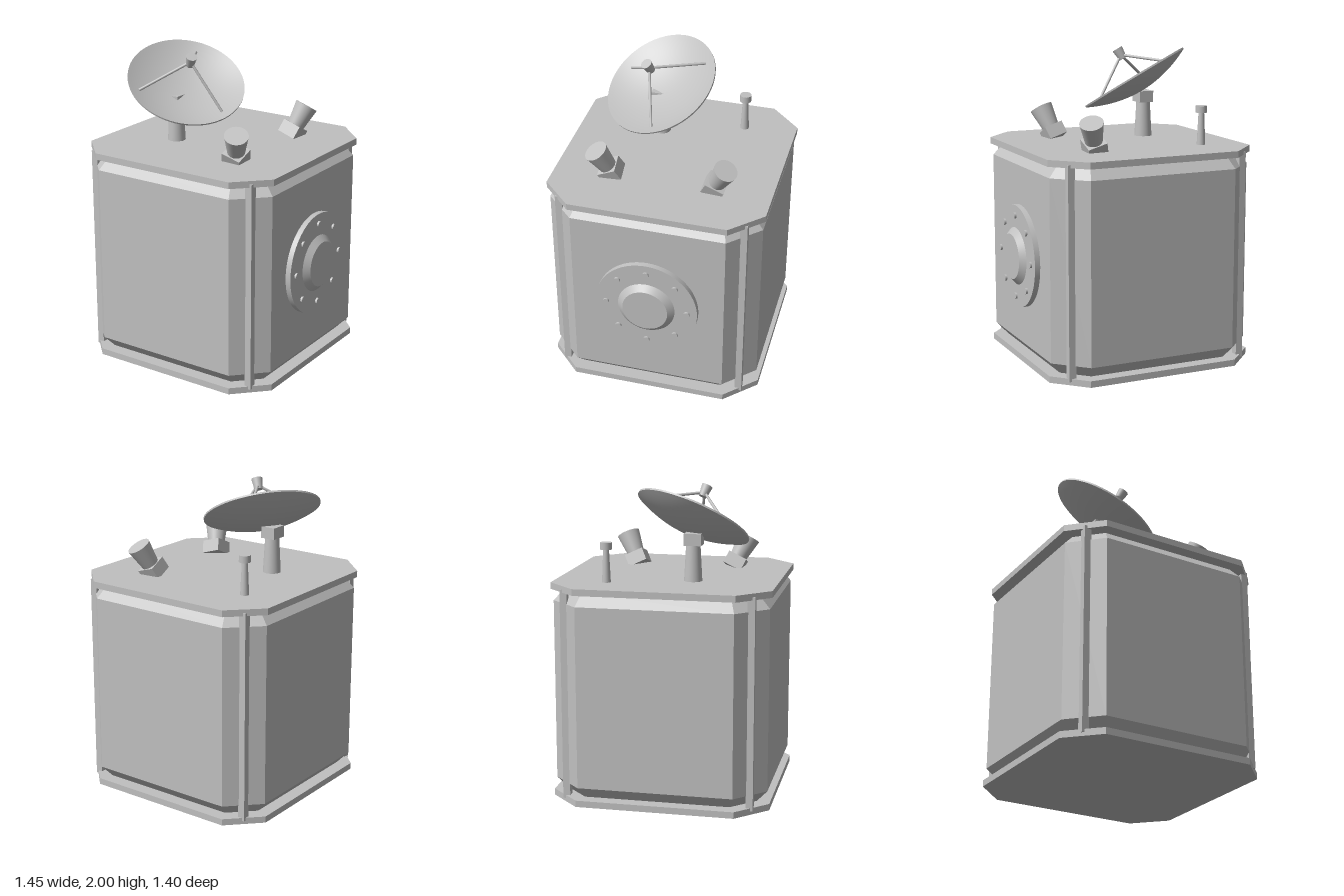
import * as THREE from 'three';

const UP = new THREE.Vector3(0, 1, 0);
const CX = -0.03; // middle of the box-shaped hull

export function createModel() {
  const model = new THREE.Group();
  const grey = new THREE.MeshStandardMaterial({ color: 0xc0c0c0 });
  grey.name = 'grey';

  const add = (name, geometry, x = 0, y = 0, z = 0, parent = model) => {
    const mesh = new THREE.Mesh(geometry, grey);
    mesh.name = name;
    mesh.position.set(x, y, z);
    parent.add(mesh);
    return mesh;
  };
  const cyl = (top, bottom, h, n = 40) => new THREE.CylinderGeometry(top, bottom, h, n);

  // Square with cut corners, extruded upwards
  const octagon = (half, flat, depth, bevel) => {
    const pts = [[flat, -half], [half, -flat], [half, flat], [flat, half],
      [-flat, half], [-half, flat], [-half, -flat], [-flat, -half]];
    const shape = new THREE.Shape(pts.map(p => new THREE.Vector2(...p)));
    const geo = new THREE.ExtrudeGeometry(shape, { depth, ...bevel });
    return geo.rotateX(-Math.PI / 2);
  };

  // Hull with sloped shoulders, and its end plates
  add('hull', octagon(0.685, 0.495, 1.165, {
    bevelEnabled: true, bevelSegments: 1, bevelSize: 0.07, bevelOffset: -0.07, bevelThickness: 0.078,
  }), CX, 0.12, 0);
  add('bottomPlate', octagon(0.7, 0.505, 0.042, { bevelEnabled: false }), CX, 0, 0);
  add('topPlate', octagon(0.7, 0.505, 0.042, { bevelEnabled: false }), CX, 1.358, 0);

  // Corner rails
  for (const sx of [-1, 1]) for (const sz of [-1, 1]) {
    add('cornerRail', new THREE.BoxGeometry(0.046, 1.355, 0.046), CX + sx * 0.588, 0.7, sz * 0.588);
  }

  // Docking port on the left side, built along y and turned to +x
  const port = new THREE.Group();
  port.name = 'dockingPort';
  port.position.set(0.65, 0.7, 0);
  port.rotation.z = -Math.PI / 2;
  model.add(port);
  add('portFlange', cyl(0.332, 0.332, 0.04, 64), 0, 0.02, 0, port);
  add('portCollar', cyl(0.147, 0.187, 0.036, 64), 0, 0.057, 0, port);
  for (let i = 0; i < 8; i++) {
    const a = i * Math.PI / 4;
    add('portBolt', cyl(0.02, 0.02, 0.02, 20), 0.265 * Math.cos(a), 0.043, 0.265 * Math.sin(a), port);
  }

  // Dish mast and its mounting block
  add('dishMast', cyl(0.045, 0.058, 0.24), -0.294, 1.515, 0.162);
  add('dishMount', new THREE.BoxGeometry(0.1, 0.075, 0.11), -0.294, 1.665, 0.165);

  // Dish, tilted towards the front left
  const dish = new THREE.Group();
  dish.name = 'dishAntenna';
  dish.position.set(-0.22, 1.797, 0.15);
  dish.quaternion.setFromUnitVectors(UP, new THREE.Vector3(0.42, 0.85, 0.316).normalize());
  model.add(dish);
  const R = 0.378, DEPTH = 0.095, WALL = 0.011;
  const curve = r => DEPTH * ((r / R) ** 2 - 1);
  const bowl = lower => {
    const pts = [];
    for (let i = 0; i <= 16; i++) {
      const r = R * i / 16;
      pts.push(new THREE.Vector2(r, curve(r) - (lower ? WALL : 0)));
    }
    return lower ? pts : pts.reverse();
  };
  add('dishInside', new THREE.LatheGeometry(bowl(false), 64), 0, 0, 0, dish);
  add('dishOutside', new THREE.LatheGeometry(bowl(true), 64), 0, 0, 0, dish);
  add('dishRim', new THREE.CylinderGeometry(R, R, WALL, 64, 1, true), 0, -WALL / 2, 0, dish);
  add('dishFeed', cyl(0.036, 0.026, 0.075, 24), 0, 0.178, 0, dish);

  // Three struts from the bowl to the feed
  for (let i = 0; i < 3; i++) {
    const a = 0.076 + i * Math.PI * 2 / 3;
    const foot = new THREE.Vector3(0.313 * Math.cos(a), curve(0.313), 0.313 * Math.sin(a));
    const head = new THREE.Vector3(0, 0.17, 0);
    const along = head.clone().sub(foot);
    const mid = foot.clone().add(head).multiplyScalar(0.5);
    const strut = add('feedStrut', cyl(0.009, 0.009, along.length(), 12), mid.x, mid.y, mid.z, dish);
    strut.quaternion.setFromUnitVectors(UP, along.normalize());
  }

  // Small whip antenna
  add('whipMast', cyl(0.018, 0.028, 0.22, 24), -0.454, 1.505, -0.36);
  add('whipCap', cyl(0.037, 0.037, 0.044, 24), -0.454, 1.629, -0.36);

  // Two sensor horns leaning outwards, mirrored front to back
  for (const s of [1, -1]) {
    const horn = new THREE.Group();
    horn.name = s > 0 ? 'frontSensor' : 'backSensor';
    horn.position.set(0.298, 1.467, s * 0.353);
    horn.quaternion.setFromUnitVectors(UP, new THREE.Vector3(0.29, 0.855, s * 0.425).normalize());
    model.add(horn);
    add('sensorBase', new THREE.BoxGeometry(0.128, 0.084, 0.128), 0, -0.042, 0, horn);
    add('sensorBarrel', cyl(0.076, 0.056, 0.145), 0, 0.0725, 0, horn);
  }

  return model;
}
